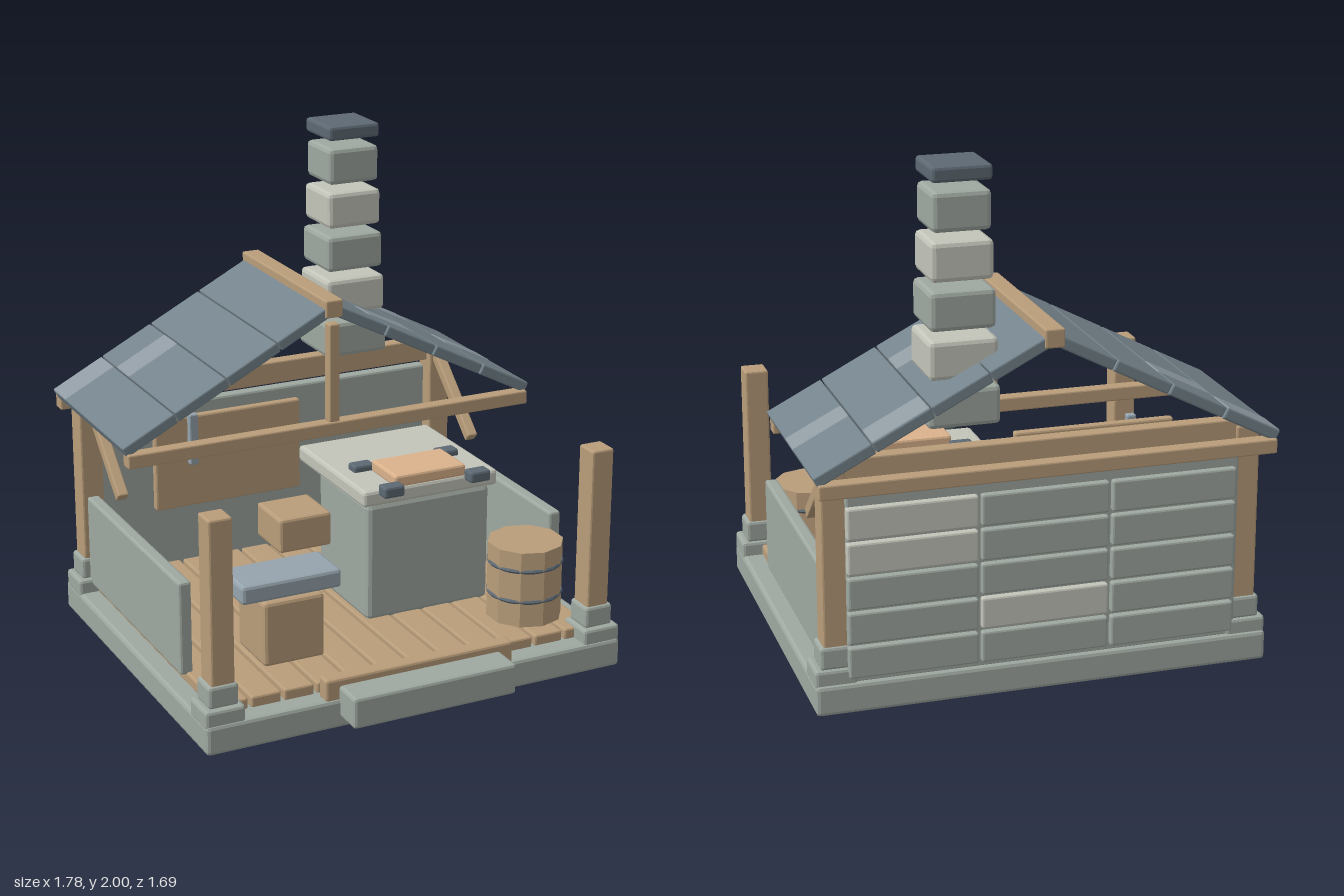
import * as THREE from 'three';
import { RoundedBoxGeometry } from 'three/addons/geometries/RoundedBoxGeometry.js';

const mat = (color) => new THREE.MeshStandardMaterial({ color, flatShading: true });
const STONE = mat(0x9fa8a1), PALE = mat(0xc3c5ba), WOOD = mat(0xb99d7a), TAN = mat(0xdbb38c);
const SLATE = mat(0x75848c), SLATE_LIGHT = mat(0x8f9aa2), IRON = mat(0x5d6973), STEEL = mat(0x96a4ae);

export function createModel() {
  const model = new THREE.Group();

  // Chamfered box given by its min and max on each axis
  function block(name, material, [x0, x1], [y0, y1], [z0, z1], bevel = 0.01, parent = model) {
    const w = x1 - x0, h = y1 - y0, d = z1 - z0;
    const r = Math.min(bevel, Math.min(w, h, d) * 0.3);
    const mesh = new THREE.Mesh(new RoundedBoxGeometry(w, h, d, 1, r), material);
    mesh.position.set((x0 + x1) / 2, (y0 + y1) / 2, (z0 + z1) / 2);
    mesh.name = name;
    parent.add(mesh);
    return mesh;
  }
  const around = (c, size) => [c - size / 2, c + size / 2];
  function group(name) {
    const g = new THREE.Group();
    g.name = name;
    model.add(g);
    return g;
  }

  // Foundation, step and threshold
  block('foundation', STONE, [-0.885, 0.885], [0, 0.118], [-0.775, 0.725], 0.015);
  block('frontStep', STONE, [-0.345, 0.345], [0.045, 0.17], [0.6, 0.845], 0.012);
  block('threshold', WOOD, [-0.4, 0.4], [0.11, 0.2], [0.655, 0.718]);

  // Floor planks
  const floor = group('floor');
  for (let i = 0; i < 12; i++)
    block('floorPlank', WOOD, around(-0.743 + i * 0.135, 0.122), [0.112, 0.16], [-0.68, 0.64], 0.008, floor);

  // Corner posts on stepped stone footings
  for (const s of [-1, 1]) {
    for (const [z, top] of [[0.635, 0.91], [-0.69, 0.95]]) {
      const corner = group('cornerPost');
      block('footing', STONE, around(s * 0.805, 0.16), [0.1, 0.175], around(z + 0.005, 0.155), 0.012, corner);
      block('upperFooting', STONE, around(s * 0.802, 0.12), [0.17, 0.26], around(z, 0.12), 0.012, corner);
      block('post', WOOD, around(s * 0.8, 0.095), [0.2, top], around(z, 0.1), 0.008, corner);
    }
    // Low side wall
    block('sideWall', STONE, around(s * 0.803, 0.052), [0.15, 0.53], [-0.64, 0.342]);
    // Diagonal brace leaning forward from the back post
    const brace = block('brace', WOOD, around(s * 0.79, 0.045), around(0.78, 0.045), around(-0.495, 0.45), 0.006);
    brace.rotation.x = Math.atan2(0.3, 0.33);
  }

  // Back wall with stone courses on the outside
  block('backWall', STONE, [-0.76, 0.76], [0.11, 0.85], [-0.755, -0.7]);
  const courses = group('backWallStones');
  for (let row = 0; row < 5; row++)
    for (let col = 0; col < 3; col++) {
      const pale = (row === 4 && col === 2) || (row === 1 && col === 1) || (row === 3 && col === 2);
      block('wallStone', pale ? PALE : STONE, around((col - 1) * 0.505 + 0.01, 0.492),
        around(0.2 + row * 0.135, 0.122), [-0.782, -0.74], 0.008, courses);
    }

  // Roof frame
  block('frontTieBeam', WOOD, [-0.875, 0.875], [0.865, 0.922], [-0.08, -0.022], 0.006);
  block('rearTieBeam', WOOD, [-0.875, 0.875], [0.865, 0.922], [-0.842, -0.782], 0.006);
  block('wallPlate', WOOD, [-0.79, 0.79], [0.88, 0.975], [-0.73, -0.67], 0.006);
  block('kingPost', WOOD, [-0.023, 0.023], [0.92, 1.325], [-0.075, -0.028], 0.006);
  block('ridgeBeam', WOOD, [-0.037, 0.037], [1.35, 1.422], [-0.835, -0.03], 0.006);

  // Roof boards, four rows each side, with some lighter slates
  const slope = Math.atan(0.515), rowWidth = 0.217;
  const patches = {
    '-1': [[3, -0.82, -0.675], [2, -0.66, -0.52]],
    '1': [[1, -0.355, -0.22], [2, -0.82, -0.675], [3, -0.5, -0.37]],
  };
  for (const s of [-1, 1]) {
    const roof = group(s < 0 ? 'rightRoof' : 'leftRoof');
    const slab = (name, material, row, z, thick) => {
      const x = 0.016 + rowWidth * (row + 0.5);
      const m = block(name, material, around(s * x, rowWidth / Math.cos(slope) - 0.004),
        around(1.382 - 0.515 * x, thick), z, 0.006, roof);
      m.rotation.z = -s * slope;
    };
    for (let row = 0; row < 4; row++) slab('roofBoard', SLATE, row, [-0.825, -0.04], 0.044);
    for (const [row, z0, z1] of patches[s]) slab('lightSlate', SLATE_LIGHT, row, [z0, z1], 0.048);
  }

  // Chimney of separate tapering blocks with a cap
  const chimney = group('chimney');
  for (let i = 0; i < 5; i++) {
    const w = 0.275 - i * 0.0135, y = 1.04 + i * 0.18;
    block('chimneyBlock', i % 2 ? PALE : STONE, around(0.297, w), [y, y + 0.148], around(-0.567, w), 0.018, chimney);
  }
  block('chimneyCap', IRON, around(0.297, 0.225), [1.942, 2], around(-0.567, 0.225), 0.012, chimney);

  // Stone counter with a wooden tray and four iron brackets
  const counter = group('counter');
  block('counterBody', STONE, [0.025, 0.57], [0.15, 0.645], [-0.23, 0.215], 0.02, counter);
  block('counterTop', PALE, [0, 0.597], [0.643, 0.71], [-0.372, 0.23], 0.014, counter);
  block('tray', TAN, [0.138, 0.453], [0.705, 0.755], [0.018, 0.228], 0.01, counter);
  for (const x of [0.108, 0.49])
    for (const z of [-0.01, 0.255])
      block('bracket', IRON, around(x, 0.09), [0.69, 0.737], around(z, 0.062), 0.01, counter);

  // Stool
  const stool = group('stool');
  block('stoolBase', WOOD, [-0.52, -0.265], [0.155, 0.42], [0.18, 0.43], 0.015, stool);
  block('stoolSeat', STEEL, [-0.6, -0.183], [0.418, 0.495], [0.2, 0.41], 0.014, stool);

  // Wooden box beside the counter
  block('sideBox', WOOD, [-0.2, 0.03], [0.355, 0.5], [-0.35, -0.12], 0.012);

  // Tool board with hanging tools
  const rack = group('toolRack');
  block('toolBoard', WOOD, [-0.62, 0.02], [0.515, 0.9], [-0.432, -0.395], 0.008, rack);
  block('uprightTool', STEEL, [-0.48, -0.442], [0.7, 0.915], [-0.4, -0.368], 0.006, rack);
  block('flatTool', STEEL, [-0.372, -0.15], [0.745, 0.783], [-0.4, -0.368], 0.006, rack);

  // Barrel with two hoops
  const barrel = group('barrel');
  barrel.position.set(0.62, 0.16, 0.422);
  const staves = new THREE.Mesh(new THREE.CylinderGeometry(0.152, 0.152, 0.315, 10), WOOD);
  staves.name = 'barrelBody';
  staves.position.y = 0.1575;
  barrel.add(staves);
  for (const y of [0.105, 0.235]) {
    const hoop = new THREE.Mesh(new THREE.TorusGeometry(0.145, 0.009, 6, 20), IRON);
    hoop.name = 'barrelHoop';
    hoop.rotation.x = Math.PI / 2;
    hoop.position.y = y;
    barrel.add(hoop);
  }

  return model;
}
